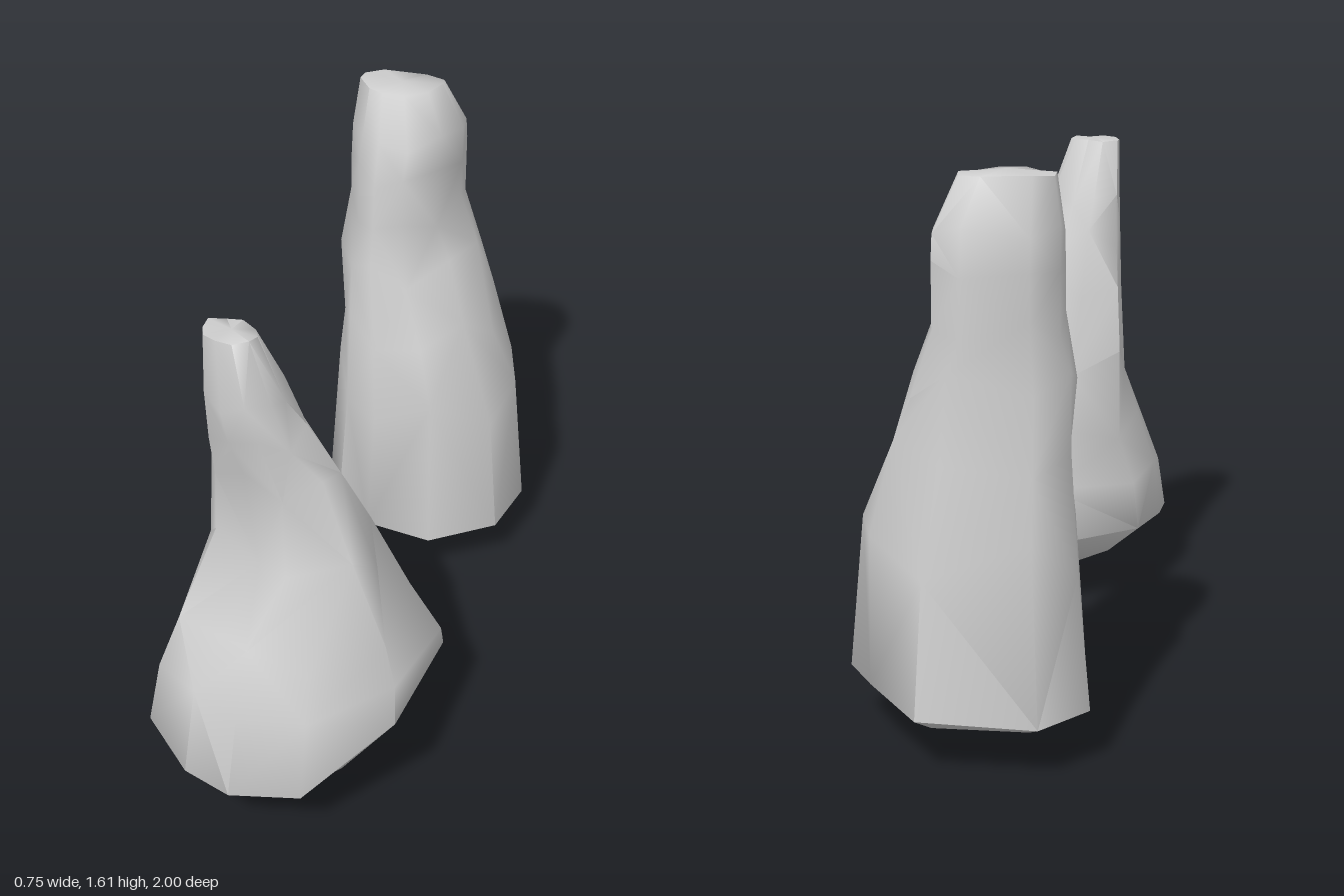
import * as THREE from 'three';
import { toCreasedNormals } from 'three/addons/utils/BufferGeometryUtils.js';

// Stretch an outline of [x, z] points to fill a box, giving one ring at height y.
// lift gives a height offset per point.
function ring(outline, [y, x0, x1, z0, z1], lift) {
  const xs = outline.map(p => p[0]), zs = outline.map(p => p[1]);
  const fit = (v, list, lo, hi) => {
    const a = Math.min(...list), b = Math.max(...list);
    return lo + (hi - lo) * (v - a) / (b - a);
  };
  return outline.map((p, i) => new THREE.Vector3(
    fit(p[0], xs, x0, x1), y + lift(i), fit(p[1], zs, z0, z1)));
}

// Move single ring points: each dent is [ring, point, dx, dy, dz].
function dent(rings, dents) {
  for (const [k, i, ...move] of dents) rings[k][i].add(new THREE.Vector3(...move));
}

// Skin rings from bottom to top and close both ends with a centre point.
function loft(rings, bottom, top) {
  const n = rings[0].length, pos = [], idx = [];
  for (const r of rings) for (const p of r) pos.push(p.x, p.y, p.z);
  const last = (rings.length - 1) * n, end = rings.length * n;
  pos.push(...bottom, ...top);
  for (let i = 0; i < n; i++) {
    const j = (i + 1) % n;
    for (let k = 0; k < rings.length - 1; k++) {
      const a = k * n + i, b = k * n + j, c = a + n, d = b + n;
      if ((i + k) % 2) idx.push(a, c, d, a, d, b);
      else idx.push(a, c, b, b, c, d);
    }
    idx.push(end, i, j, end + 1, last + j, last + i);
  }
  const g = new THREE.BufferGeometry();
  g.setAttribute('position', new THREE.Float32BufferAttribute(pos, 3));
  g.setIndex(idx);
  return toCreasedNormals(g, 1.15);
}

// Uneven heights that break up the horizontal bands of the rock
const rough = (amount, seed) => i => amount * Math.sin(i * 2.4 + seed * 1.9);

function rearRock() {
  const base = [[-0.23, -0.98], [0.1, -1], [0.25, -0.82], [0.36, -0.65], [0.32, -0.46],
    [0.13, -0.32], [-0.08, -0.32], [-0.21, -0.4], [-0.31, -0.62], [-0.35, -0.84]];
  const crown = [[-0.18, -0.83], [0, -0.86], [0.08, -0.83], [0.09, -0.74], [0.05, -0.61],
    [-0.03, -0.49], [-0.12, -0.48], [-0.19, -0.55], [-0.25, -0.66], [-0.25, -0.76]];
  // Each level: y, x min, x max, z min, z max
  const levels = [
    [0.12, -0.29, 0.28, -0.92, -0.39],
    [0.16, -0.35, 0.36, -1, -0.31],
    [0.6, -0.31, 0.32, -0.945, -0.345],
    [0.85, -0.285, 0.24, -0.895, -0.375],
    [1.05, -0.28, 0.15, -0.86, -0.44],
    [1.2, -0.25, 0.09, -0.85, -0.475],
    [1.36, -0.25, 0.09, -0.85, -0.485],
    [1.46, -0.25, 0.09, -0.83, -0.53],
    [1.6, -0.23, 0.025, -0.775, -0.605],
  ];
  const amounts = [0, 0.015, 0.06, 0.05, 0.04, 0.03, 0.025, 0.015, 0.004];
  const rings = levels.map((l, k) => ring(k < 4 ? base : crown, l, rough(amounts[k], k - 1)));
  dent(rings, [
    // Bulge on the rear flank
    [1, 2, 0.01, 0.05, -0.01], [2, 2, 0.035, 0, -0.035], [3, 2, 0.035, 0, -0.035],
    // Slimmer front shoulder
    [3, 4, -0.04, 0, -0.03],
  ]);
  return loft(rings, [0, 0.11, -0.64], [-0.1, 1.61, -0.69]);
}

function frontRock() {
  const base = [[-0.33, 0.45], [-0.07, 0.265], [0.2, 0.255], [0.37, 0.34], [0.355, 0.77],
    [0.14, 0.97], [-0.07, 0.995], [-0.21, 0.97], [-0.38, 0.82], [-0.38, 0.65]];
  const crown = [[-0.24, 0.51], [-0.16, 0.47], [-0.08, 0.47], [0, 0.53], [0.03, 0.6],
    [0.01, 0.67], [-0.06, 0.72], [-0.14, 0.72], [-0.21, 0.68], [-0.24, 0.6]];
  const rim = [0.25, 0.24, 0.24, 0.32, 0.28, 0.2, 0.17, 0.2, 0.22, 0.24];
  const tip = [-0.05, 0, 0.75];
  // Pointed underside, then the uneven widest rim
  const under = base.map(([x, z], i) => new THREE.Vector3(
    tip[0] + 0.6 * (x - tip[0]), 0.5 * rim[i], tip[2] + 0.6 * (z - tip[2])));
  const wide = base.map(([x, z], i) => new THREE.Vector3(x, rim[i], z));
  const levels = [
    [0.42, -0.36, 0.355, 0.285, 0.925],
    [0.57, -0.305, 0.315, 0.32, 0.865],
    [0.8, -0.265, 0.235, 0.37, 0.75],
    [1.05, -0.25, 0.13, 0.44, 0.69],
    [1.2, -0.24, 0.045, 0.475, 0.72],
    [1.32, -0.235, -0.005, 0.51, 0.73],
    [1.5, -0.23, -0.075, 0.575, 0.69],
  ];
  const amounts = [0.03, 0.04, 0.05, 0.04, 0.03, 0.02, 0.003];
  const body = levels.map((l, k) => ring(k < 2 ? base : crown, l, rough(amounts[k], k + 2)));
  const rings = [under, wide, ...body];
  dent(rings, [
    // Hollow beside the front ridge
    [3, 7, 0, 0, -0.08], [4, 7, 0, 0, -0.08], [4, 8, 0, 0, -0.03], [4, 6, -0.04, 0, 0],
    // Raised corner of the rim and the flank above it
    [1, 4, 0, 0.09, 0], [2, 4, 0, 0.03, 0],
    // Sharp rear corner, pinched in above
    [2, 3, 0.012, 0, 0], [3, 3, -0.03, 0, 0.03],
  ]);
  return loft(rings, tip, [-0.15, 1.505, 0.63]);
}

export function createModel() {
  const group = new THREE.Group();
  group.name = 'rockPillars';
  const material = new THREE.MeshStandardMaterial({ color: 0xcccccc });
  for (const [name, geometry] of [['rearRock', rearRock()], ['frontRock', frontRock()]]) {
    const mesh = new THREE.Mesh(geometry, material);
    mesh.name = name;
    group.add(mesh);
  }
  return group;
}
